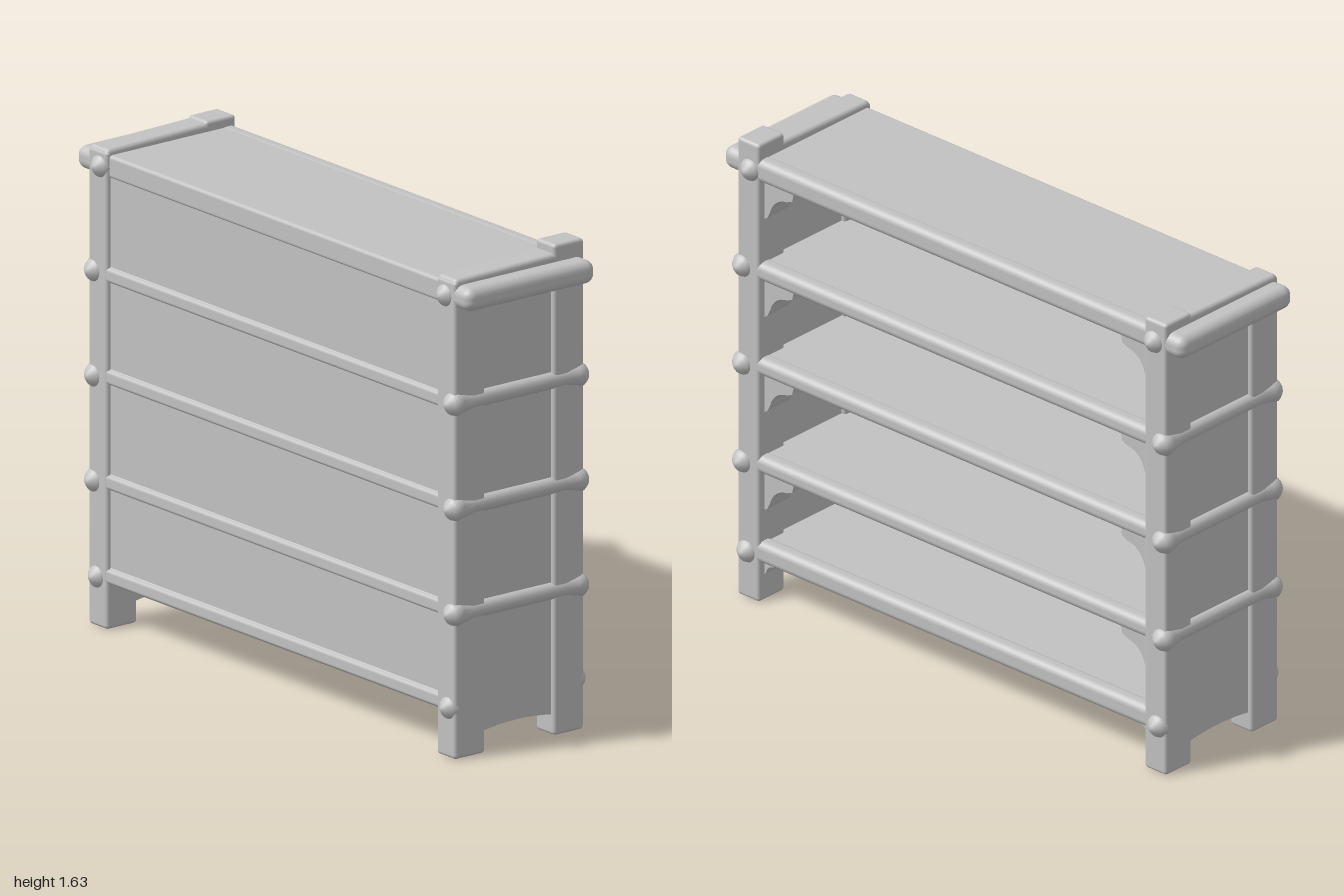
import * as THREE from 'three';
import { RoundedBoxGeometry } from 'three/addons/geometries/RoundedBoxGeometry.js';

export function createModel() {
  const model = new THREE.Group();
  model.name = 'bookcase';
  const wood = new THREE.MeshStandardMaterial({ color: 0xc2c2c2 });
  wood.name = 'grey wood';

  function add(name, geometry) {
    const mesh = new THREE.Mesh(geometry, wood);
    mesh.name = name;
    model.add(mesh);
  }

  // Softened box given by its limits on each axis, optionally tilted about z
  function box(name, [x0, x1], [y0, y1], [z0, z1], r = 0.012, tilt = 0) {
    const g = new RoundedBoxGeometry(x1 - x0, y1 - y0, z1 - z0, 3, r);
    g.rotateZ(tilt);
    g.translate((x0 + x1) / 2, (y0 + y1) / 2, (z0 + z1) / 2);
    add(name, g);
  }

  const span = (s, a, b) => (s > 0 ? [a, b] : [-b, -a]);

  // Rounded rail across an end, swelling into a pointed knob at both tips
  function endRail(name, y, z, r) {
    const half = [[0.29, 0], [0.288, 0.012], [0.272, 0.032], [0.255, 0.042], [0.235, 0.037], [0.19, r]];
    const profile = [
      ...half.map(([x, q]) => new THREE.Vector2(q, -x)),
      ...half.slice().reverse().map(([x, q]) => new THREE.Vector2(q, x)),
    ];
    const g = new THREE.LatheGeometry(profile, 16);
    g.rotateZ(-Math.PI / 2);
    g.translate(0, y, z);
    add(name, g);
  }

  // Stepped, concave corner bracket below a shelf
  function bracket(y, s, size) {
    const p = (u, v) => [s * (0.835 - u * size), y + v * size];
    const shape = new THREE.Shape();
    shape.moveTo(...p(0, 0));
    shape.lineTo(...p(0.13, 0));
    shape.lineTo(...p(0.122, -0.035));
    shape.lineTo(...p(0.1, -0.045));
    shape.quadraticCurveTo(...p(0.042, -0.052), ...p(0.025, -0.11));
    shape.lineTo(...p(0.015, -0.13));
    shape.lineTo(...p(0, -0.14));
    const g = new THREE.ExtrudeGeometry(shape, { depth: 0.1, bevelEnabled: false, curveSegments: 8 });
    g.rotateY(-Math.PI / 2);
    g.translate(0.235, 0, 0);
    add('cornerBracket', g);
  }

  // Shelves with a rounded lip along the open side: [height, half thickness, lip half height]
  const shelves = [[0.177, 0.03, 0.038], [0.49, 0.029, 0.031], [0.84, 0.029, 0.031], [1.18, 0.029, 0.032], [1.54, 0.038, 0.04]];
  shelves.forEach(([y, h, lip], i) => {
    box(i === 4 ? 'topBoard' : 'shelf', [-0.255, 0.24], [y - h, y + h], [-0.87, 0.87]);
    box('shelfLip', [0.2, 0.262], [y - lip, y + lip], [-0.905, 0.905], 0.024);
    for (const s of [1, -1]) bracket(y - h, s, i === 0 ? 0.4 : 1);
  });

  // Recessed back boards and thin rails over their joints
  box('backPanel', [-0.25, -0.225], [0.15, 1.54], [-0.88, 0.88], 0.005);
  for (const [y] of shelves.slice(0, 4)) {
    box('backRail', [-0.264, -0.23], [y - 0.024, y + 0.024], [-0.88, 0.88], 0.012);
  }

  for (const s of [1, -1]) {
    // Corner posts; the front one on the open side rises above the top rail
    box('openSidePost', [0.14, 0.262], [0, s > 0 ? 1.635 : 1.612], span(s, 0.832, 0.927));
    box('backPost', [-0.265, -0.14], [0, 1.59], span(s, 0.832, 0.927));

    // Recessed end panel with a shallow arch between the feet
    const shape = new THREE.Shape();
    shape.moveTo(-0.16, 0.065);
    shape.quadraticCurveTo(0, 0.095, 0.16, 0.065);
    shape.lineTo(0.16, 1.55);
    shape.lineTo(-0.16, 1.55);
    const panel = new THREE.ExtrudeGeometry(shape, { depth: 0.062, bevelEnabled: false, curveSegments: 8 });
    panel.translate(0, 0, s > 0 ? 0.847 : -0.909);
    add('endPanel', panel);

    // Heavy top rail below a slightly tilted cap
    box('topEndRail', [-0.265, 0.26], [1.5, 1.578], span(s, 0.85, 0.995), 0.032);
    box('topEndCap', [-0.262, 0.255], [1.53, 1.602], span(s, 0.832, 0.927), 0.015, 0.02);
    endRail('topKnobs', 1.535, s * 0.872, 0.03);

    // Lower end rails, with knobs only at the lowest level
    for (const y of [0.48, 0.83, 1.18]) endRail('endRail', y, s * 0.907, 0.028);
    endRail('footKnobs', 0.165, s * 0.888, 0.018);
  }

  return model;
}
